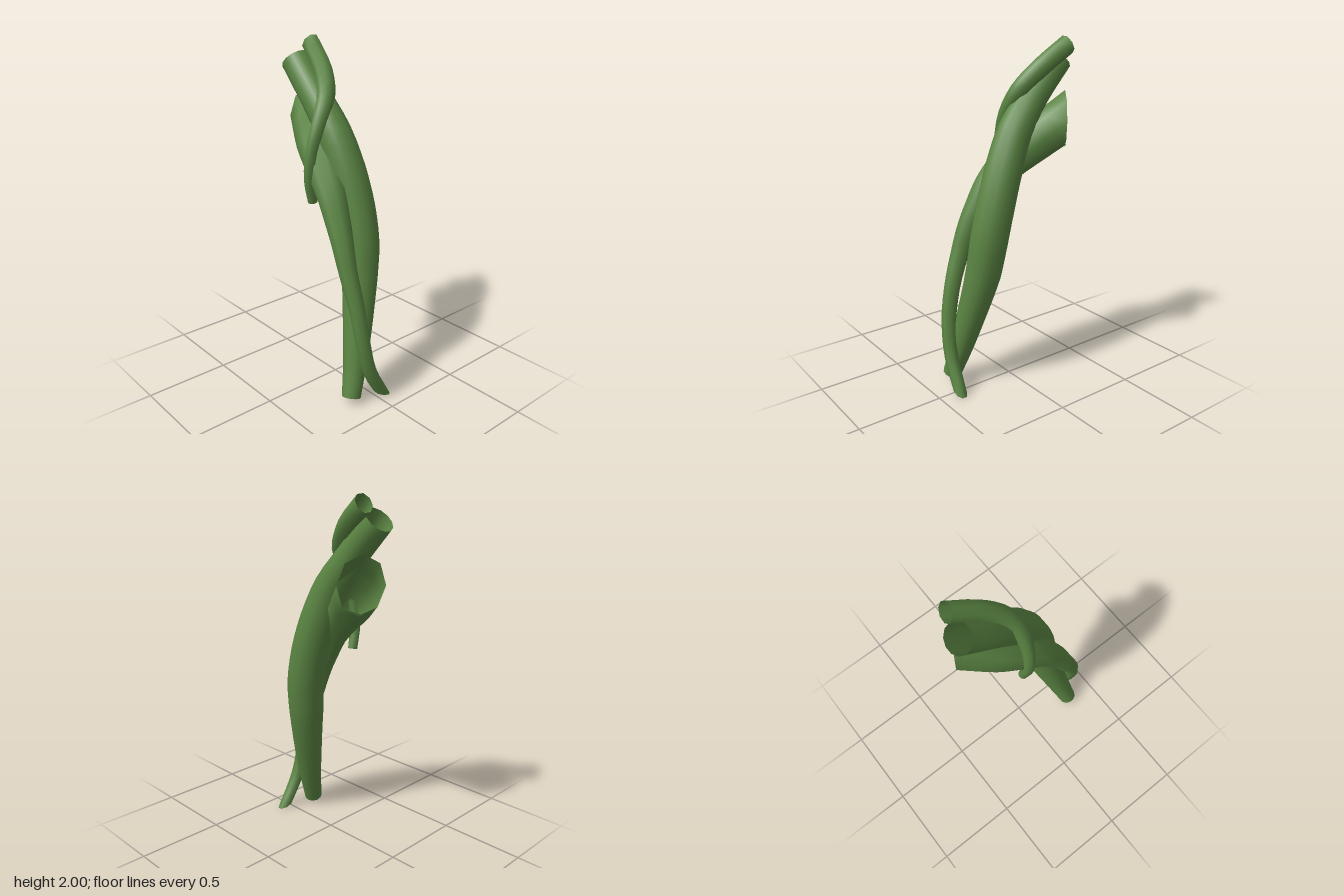
import * as THREE from 'three';

const green = new THREE.MeshStandardMaterial({ color: 0x5a8442, side: THREE.DoubleSide });
green.name = 'vineGreen';

// Open tapering tube. Each stop is [x, y, z, radius]; the end rings may be
// cut obliquely by giving the normal of the cutting plane.
function vine(name, stops, sides, steps, startCut, endCut) {
  const curve = new THREE.CatmullRomCurve3(stops.map(s => new THREE.Vector3(s[0], s[1], s[2])));
  const zAxis = new THREE.Vector3(0, 0, 1);
  const positions = [], index = [];
  for (let i = 0; i <= steps; i++) {
    const t = i / steps;
    const center = curve.getPoint(t);
    const tangent = curve.getTangent(t);
    const u = tangent.clone().cross(zAxis).normalize();
    const v = u.clone().cross(tangent).normalize();
    const f = t * (stops.length - 1);
    const k = Math.min(Math.floor(f), stops.length - 2);
    const radius = THREE.MathUtils.lerp(stops[k][3], stops[k + 1][3], f - k);
    const cut = i === 0 ? startCut : i === steps ? endCut : null;
    for (let j = 0; j < sides; j++) {
      const a = (j + 0.5) / sides * Math.PI * 2;
      const d = u.clone().multiplyScalar(Math.cos(a) * radius)
        .addScaledVector(v, Math.sin(a) * radius);
      if (cut) d.addScaledVector(tangent, -d.dot(cut) / tangent.dot(cut));
      positions.push(...d.add(center).toArray());
      if (i < steps) {
        const p = i * sides + j, q = i * sides + (j + 1) % sides;
        index.push(p, q, p + sides, q, q + sides, p + sides);
      }
    }
  }
  const geometry = new THREE.BufferGeometry();
  geometry.setAttribute('position', new THREE.Float32BufferAttribute(positions, 3));
  geometry.setIndex(index);
  geometry.computeVertexNormals();
  const mesh = new THREE.Mesh(geometry, green);
  mesh.name = name;
  return mesh;
}

export function createModel() {
  const group = new THREE.Group();
  group.name = 'twistedVines';

  // Thick stem forming the core
  group.add(vine('mainVine', [
    [0.315, 0.04, 0.15, 0.055],
    [0.285, 0.2, 0.10, 0.066],
    [0.25, 0.4, 0.05, 0.082],
    [0.195, 0.7, -0.015, 0.102],
    [0.17, 0.9, -0.04, 0.108],
    [0.125, 1.1, -0.045, 0.108],
    [0.06, 1.3, -0.035, 0.106],
    [-0.03, 1.5, -0.018, 0.098],
    [-0.17, 1.68, -0.003, 0.087],
    [-0.345, 1.87, 0, 0.083],
  ], 12, 27));

  // Vine wrapping the front and widening to an open end at the back
  group.add(vine('wrappingVine', [
    [0.38, 0.018, -0.037, 0.036],
    [0.372, 0.2, 0.062, 0.04],
    [0.357, 0.4, 0.105, 0.043],
    [0.32, 0.6, 0.12, 0.047],
    [0.255, 0.8, 0.128, 0.054],
    [0.2, 0.95, 0.12, 0.064],
    [0.14, 1.07, 0.105, 0.075],
    [0.07, 1.19, 0.085, 0.087],
    [-0.03, 1.3, 0.05, 0.104],
    [-0.16, 1.41, -0.005, 0.12],
    [-0.32, 1.545, -0.1, 0.13],
  ], 8, 30, new THREE.Vector3(0, 0.95, -0.32), new THREE.Vector3(-0.82, 0, -0.57)));

  // Thin short vine crossing the top
  group.add(vine('thinVine', [
    [-0.06, 1.12, 0.115, 0.028],
    [-0.05, 1.26, 0.146, 0.031],
    [-0.04, 1.42, 0.136, 0.034],
    [-0.037, 1.58, 0.08, 0.042],
    [-0.07, 1.71, 0.005, 0.051],
    [-0.17, 1.83, -0.055, 0.054],
    [-0.33, 1.955, -0.1, 0.054],
  ], 8, 18, null, new THREE.Vector3(-0.87, 0.47, -0.1)));

  return group;
}
